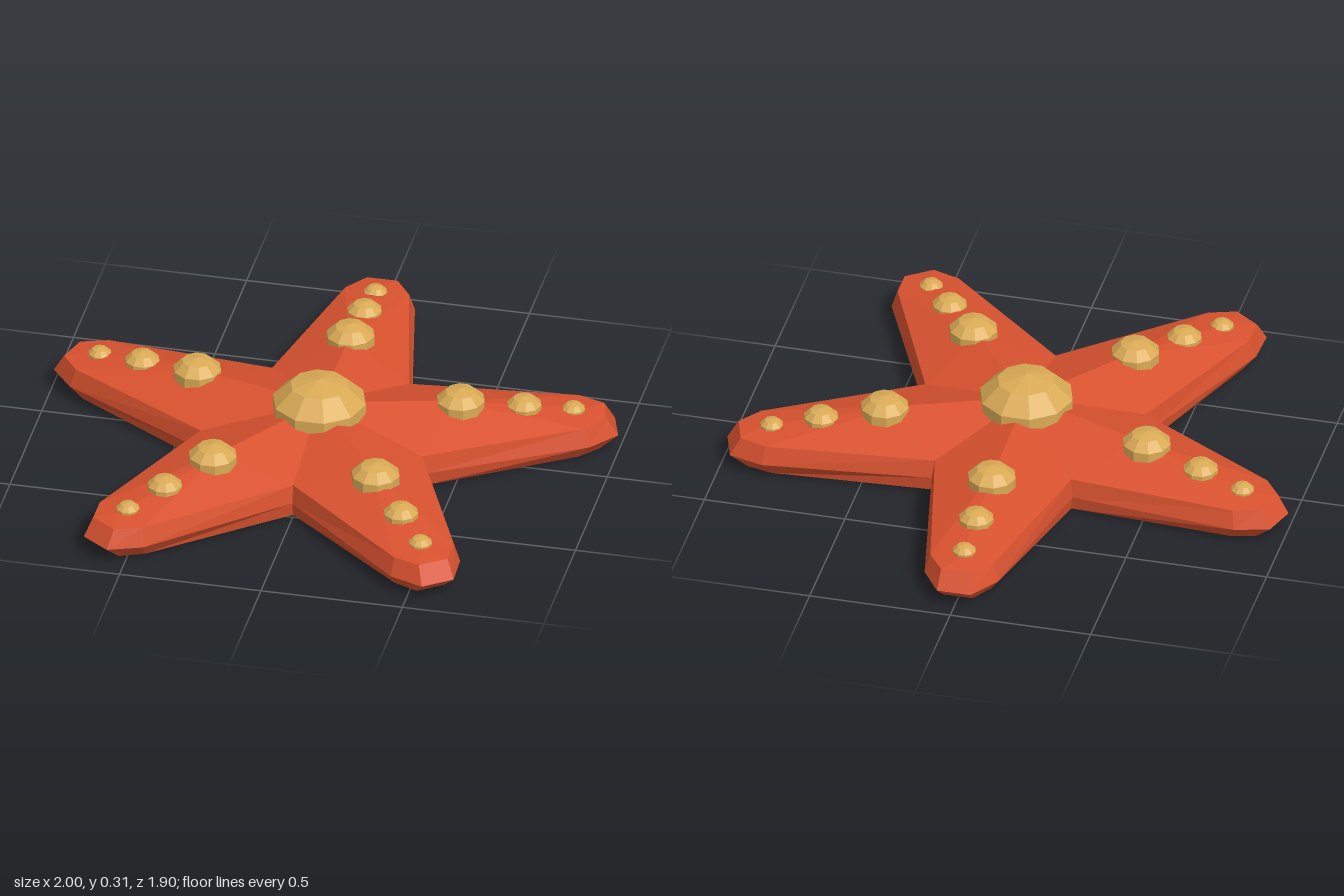
import * as THREE from 'three';

const ARMS = 5;
const CENTRE_Z = 0.08;

// Point in an arm's own frame: r along the arm, w sideways, y up
function armPoint(arm, r, w, y) {
  const a = (arm * Math.PI * 2) / ARMS;
  return [
    r * Math.sin(a) + w * Math.cos(a),
    y,
    -r * Math.cos(a) + w * Math.sin(a),
  ];
}

// Outline ring: valley, shoulder, tip, tip, shoulder for every arm
function starRing({ y, valley, shoulderR, shoulderW, tipR, tipW }) {
  const ring = [];
  const h = Math.PI / ARMS;
  for (let k = 0; k < ARMS; k++) {
    ring.push(
      armPoint(k, valley * Math.cos(h), -valley * Math.sin(h), y),
      armPoint(k, shoulderR, -shoulderW, y),
      armPoint(k, tipR, -tipW, y),
      armPoint(k, tipR, tipW, y),
      armPoint(k, shoulderR, shoulderW, y),
    );
  }
  return ring;
}

function bodyGeometry() {
  const pos = [];
  const tri = (a, b, c) => pos.push(...a, ...b, ...c);
  const rings = [
    { y: 0.007, valley: 0.415, shoulderR: 0.89, shoulderW: 0.1, tipR: 0.968, tipW: 0.052 },
    { y: 0.06, valley: 0.427, shoulderR: 0.925, shoulderW: 0.13, tipR: 1.03, tipW: 0.06 },
    { y: 0.125, valley: 0.412, shoulderR: 0.91, shoulderW: 0.113, tipR: 0.992, tipW: 0.054 },
  ].map(starRing);
  const n = rings[0].length;

  // Side bands
  for (let b = 0; b < 2; b++) {
    const lo = rings[b], up = rings[b + 1];
    for (let i = 0; i < n; i++) {
      const j = (i + 1) % n;
      tri(lo[j], lo[i], up[i]);
      tri(lo[j], up[i], up[j]);
    }
  }

  // Underside, one fan
  for (let i = 0; i < n; i++) tri([0, 0, 0], rings[0][i], rings[0][(i + 1) % n]);

  // Ridged top of each arm
  const top = rings[2];
  const peak = [0, 0.215, 0];
  for (let k = 0; k < ARMS; k++) {
    const [v, s, t, t2, s2] = top.slice(k * 5, k * 5 + 5);
    const v2 = top[(k * 5 + 5) % n];
    const r1 = armPoint(k, 0.45, 0, 0.197);
    const r2 = armPoint(k, 0.92, 0, 0.138);
    tri(peak, r1, v);
    tri(v, r1, s);
    tri(s, r1, r2);
    tri(s, r2, t);
    tri(t, r2, t2);
    tri(t2, r2, s2);
    tri(s2, r2, r1);
    tri(s2, r1, v2);
    tri(v2, r1, peak);
  }

  const geo = new THREE.BufferGeometry();
  geo.setAttribute('position', new THREE.Float32BufferAttribute(pos, 3));
  geo.computeVertexNormals();
  return geo;
}

export function createModel() {
  const coral = new THREE.MeshStandardMaterial({ color: 0xd9522f, flatShading: true });
  coral.name = 'coral';
  const sand = new THREE.MeshStandardMaterial({ color: 0xdaab56, flatShading: true });
  sand.name = 'sand';

  const group = new THREE.Group();
  group.name = 'starfish';

  const body = new THREE.Mesh(bodyGeometry(), coral);
  body.name = 'body';
  body.position.z = CENTRE_Z;
  group.add(body);

  // Flattened faceted knobs
  const knobGeo = new THREE.SphereGeometry(1, 10, 5);
  const addKnob = (name, [x, y, z], radius, height) => {
    const knob = new THREE.Mesh(knobGeo, sand);
    knob.name = name;
    knob.position.set(x, y, z + CENTRE_Z);
    knob.scale.set(radius, height, radius);
    group.add(knob);
    return knob;
  };

  addKnob('centreKnob', [0, 0.19, 0], 0.173, 0.12);

  const knobs = [
    { name: 'innerKnob', r: 0.49, y: 0.184, radius: 0.089, height: 0.061 },
    { name: 'middleKnob', r: 0.71, y: 0.157, radius: 0.064, height: 0.045 },
    { name: 'outerKnob', r: 0.88, y: 0.135, radius: 0.043, height: 0.031 },
  ];
  for (let k = 0; k < ARMS; k++) {
    for (const { name, r, y, radius, height } of knobs) {
      const knob = addKnob(`${name}${k + 1}`, armPoint(k, r, 0, y), radius, height);
      knob.rotation.y = (-k * Math.PI * 2) / ARMS;
    }
  }

  return group;
}
